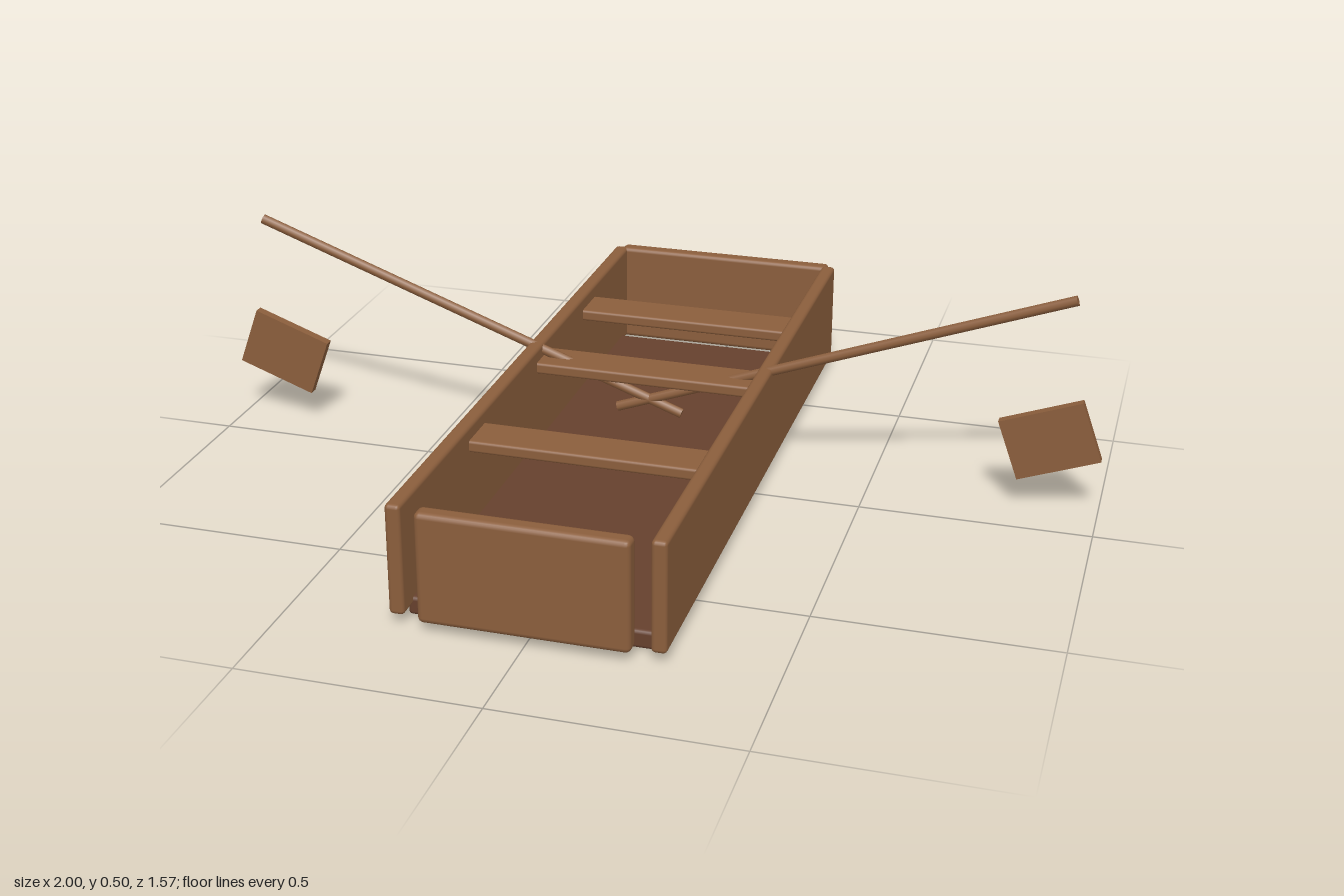
import * as THREE from 'three';
import { RoundedBoxGeometry } from 'three/addons/geometries/RoundedBoxGeometry.js';

export function createModel() {
  const boat = new THREE.Group();
  boat.name = 'rowingBoat';

  const wood = new THREE.MeshStandardMaterial({ color: 0x8b5e3c });
  wood.name = 'wood';
  const darkWood = new THREE.MeshStandardMaterial({ color: 0x66402d });
  darkWood.name = 'darkWood';

  const add = (name, geometry, material, x, y, z) => {
    const mesh = new THREE.Mesh(geometry, material);
    mesh.name = name;
    mesh.position.set(x, y, z);
    boat.add(mesh);
    return mesh;
  };
  // Plank with softened edges, given by its size and centre
  const plank = (name, material, [w, h, d], [x, y, z], bevel = 0.008) =>
    add(name, new RoundedBoxGeometry(w, h, d, 2, bevel), material, x, y, z);

  // Hull: floor and end boards
  plank('floor', darkWood, [0.52, 0.04, 1.43], [0, 0.02, 0]);
  plank('bowBoard', wood, [0.43, 0.238, 0.04], [0, 0.142, 0.762], 0.012);
  plank('sternBoard', wood, [0.525, 0.238, 0.036], [0, 0.142, -0.769], 0.01);

  // Three cross benches
  for (const z of [-0.435, -0.097, 0.335]) {
    plank('bench', wood, [0.51, 0.026, 0.1], [0, 0.217, z], 0.006);
  }

  // Side boards and oars, mirrored left and right
  const tilt = THREE.MathUtils.degToRad(20);
  const oarLength = 1.06;
  const oarZ = -0.097;
  for (const [side, s] of [['left', 1], ['right', -1]]) {
    plank(side + 'SideBoard', wood, [0.032, 0.238, 1.53], [s * 0.265, 0.142, -0.002], 0.009);

    // Pole runs from its raised outer tip down under the middle bench
    const x = 0.922 - Math.cos(tilt) * oarLength / 2;
    const y = 0.489 - Math.sin(tilt) * oarLength / 2;
    const pole = add(side + 'OarPole', new THREE.CylinderGeometry(0.0115, 0.0115, oarLength, 8),
      wood, s * x, y, oarZ);
    pole.rotation.z = s * (tilt - Math.PI / 2);

    // Blade floats beside the hull, parallel to its pole
    const blade = add(side + 'OarBlade', new THREE.BoxGeometry(0.186, 0.139, 0.021),
      wood, s * 0.888, 0.167, oarZ);
    blade.rotation.z = s * tilt;
  }

  return boat;
}
